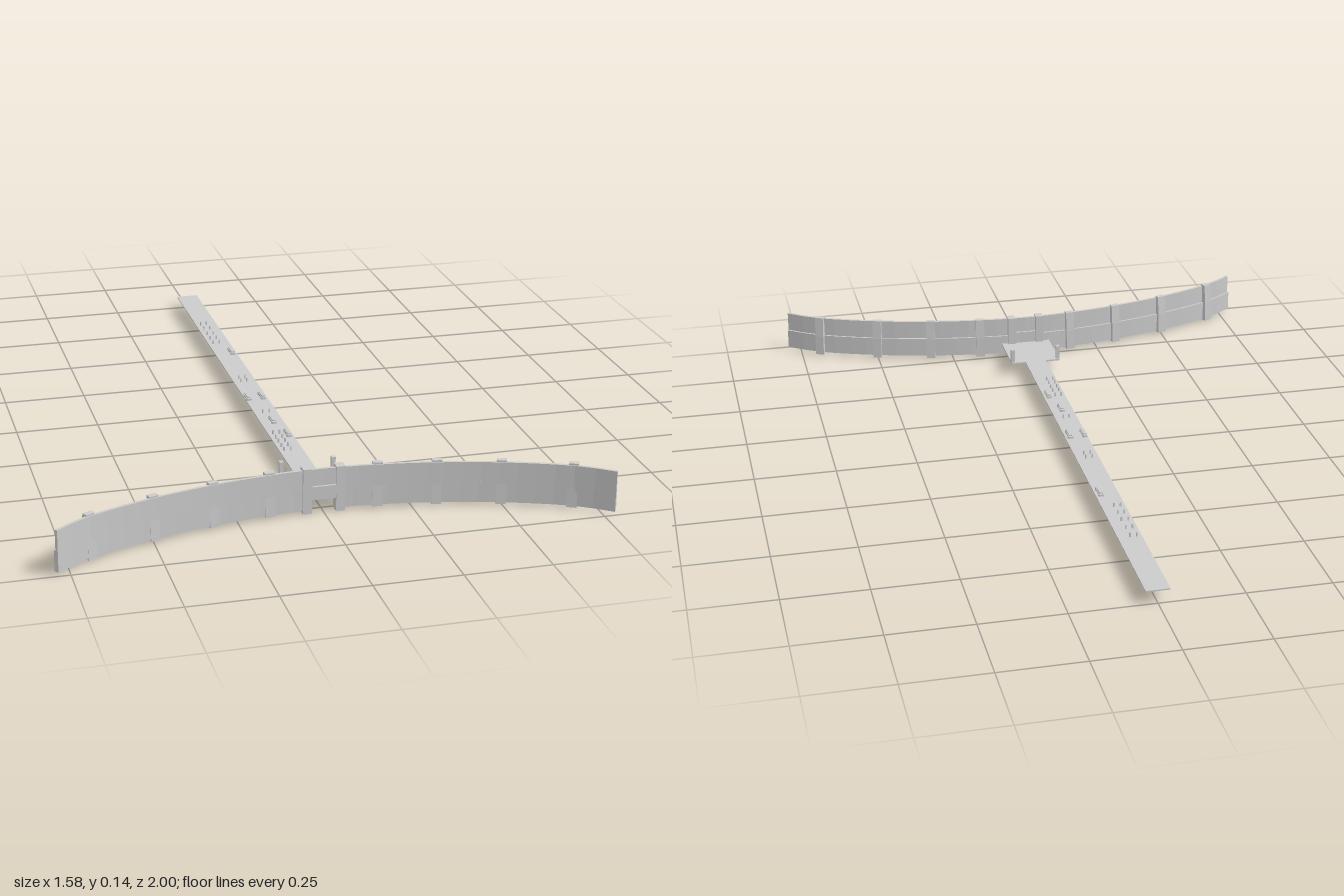
import * as THREE from 'three';

const mat = new THREE.MeshStandardMaterial({ color: 0xcccccc, flatShading: true, side: THREE.DoubleSide });

// front face of the curved wall in plan: x, z
const half = [[0, 0.777], [0.16, 0.787], [0.32, 0.812], [0.5, 0.858], [0.68, 0.927], [0.782, 0.995]];
const full = [...half.slice(1).reverse().map(([x, z]) => [-x, z]), ...half];
const curve = new THREE.SplineCurve(full.map(([x, z]) => new THREE.Vector2(x, z)));
const samples = curve.getPoints(200);

// point and slope of the wall's front face at a given x
function wallAt(x) {
  let i = samples.findIndex((p) => p.x >= x);
  if (i < 1) i = i === 0 ? 1 : samples.length - 1;
  const a = samples[i - 1], b = samples[i];
  const slope = (b.y - a.y) / (b.x - a.x);
  return { z: a.y + slope * (x - a.x), angle: -Math.atan(slope) };
}

export function createModel() {
  const group = new THREE.Group();

  function add(name, geometry, parent = group) {
    const mesh = new THREE.Mesh(geometry, mat);
    mesh.name = name;
    parent.add(mesh);
    return mesh;
  }
  function box(name, x0, x1, y0, y1, z0, z1) {
    const m = add(name, new THREE.BoxGeometry(x1 - x0, y1 - y0, z1 - z0));
    m.position.set((x0 + x1) / 2, (y0 + y1) / 2, (z0 + z1) / 2);
    return m;
  }
  // curved wall strip between two x positions, given thickness and height
  function wallBand(name, x0, x1, y0, y1, depth) {
    const n = Math.max(2, Math.ceil((x1 - x0) / 0.05));
    const front = [], back = [];
    for (let i = 0; i <= n; i++) {
      const x = x0 + (x1 - x0) * i / n;
      const { z, angle } = wallAt(x);
      front.push(new THREE.Vector2(x, -z));
      back.unshift(new THREE.Vector2(x - Math.sin(angle) * depth, -z + Math.cos(angle) * depth));
    }
    const g = new THREE.ExtrudeGeometry(new THREE.Shape([...front, ...back]), { depth: y1 - y0, bevelEnabled: false });
    g.rotateX(-Math.PI / 2);
    g.translate(0, y0, 0);
    add(name, g);
  }

  // wall: thin upper part over a thicker base, with a gate at the middle
  wallBand('upperWall', -0.782, 0.782, 0.07, 0.13, 0.009);
  wallBand('lowerWallRight', -0.782, -0.035, 0.008, 0.07, 0.015);
  wallBand('lowerWallLeft', 0.035, 0.782, 0.008, 0.07, 0.015);
  box('gateLintel', -0.035, 0.035, 0.04, 0.08, 0.762, 0.784);

  // tapered buttresses on the back of the wall
  const profile = new THREE.Shape();
  profile.moveTo(-0.003, 0.004);
  profile.lineTo(0.028, 0.004);
  profile.lineTo(0.026, 0.07);
  profile.lineTo(0.02, 0.135);
  profile.lineTo(0.003, 0.135);
  profile.lineTo(0.003, 0.13);
  profile.closePath();
  const rib = new THREE.ExtrudeGeometry(profile, { depth: 0.028, bevelEnabled: false });
  rib.translate(0, 0, -0.014);
  rib.rotateY(Math.PI / 2);
  for (const side of [-1, 1]) {
    for (const d of [0.155, 0.32, 0.495, 0.68]) {
      const x = side * d, { z, angle } = wallAt(x);
      const m = add('buttress', rib);
      m.position.set(x, 0, z);
      m.rotation.y = angle;
    }
    // gate posts and the small posts at the landing's corners
    box('gatePost', side * 0.048 - 0.013, side * 0.048 + 0.013, 0, 0.135, 0.755, 0.785);
    box('landingPost', side * 0.077 - 0.006, side * 0.077 + 0.006, 0.04, 0.087, 0.597, 0.611);
  }

  // landing and long road
  box('landing', -0.082, 0.082, 0.037, 0.042, 0.594, 0.77);
  box('road', -0.035, 0.035, 0.038, 0.042, -1, 0.6);

  // carts: low body with a smaller top
  for (const [x, z] of [[0.02, 0.31], [0.002, 0.2], [-0.026, 0], [0.02, 0], [0.02, -0.405]]) {
    box('cartBody', x - 0.007, x + 0.007, 0.044, 0.05, z - 0.027, z + 0.027);
    box('cartTop', x - 0.005, x + 0.005, 0.05, 0.054, z - 0.02, z + 0.02);
    for (const dz of [-0.018, 0.018]) box('cartWheels', x - 0.008, x + 0.008, 0.042, 0.047, z + dz - 0.004, z + dz + 0.004);
  }

  // pairs of small figures walking on the road
  const pairs = [
    [-0.012, [0.43, 0.4, 0.365, 0.335, 0.3]],
    [0, [0.13]],
    [-0.004, [-0.14, -0.168]],
    [-0.01, [-0.5, -0.545, -0.59, -0.64, -0.69]],
  ];
  for (const [cx, rows] of pairs) {
    for (const z of rows) {
      for (const dx of [-0.01, 0.01]) box('figure', cx + dx - 0.002, cx + dx + 0.002, 0.042, 0.055, z - 0.002, z + 0.002);
    }
  }
  return group;
}
